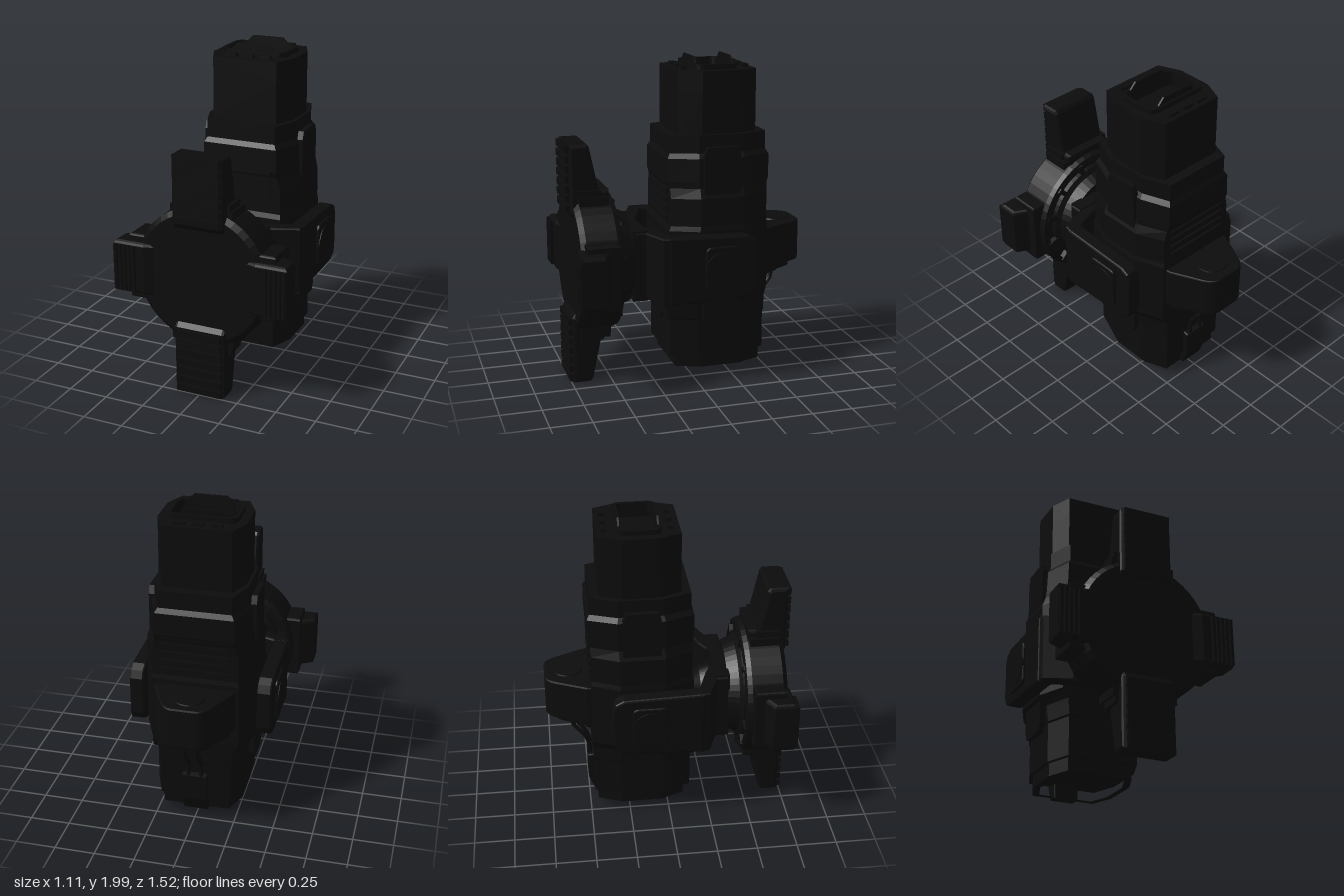
import * as THREE from 'three';

const black = new THREE.MeshStandardMaterial({ color: 0x0c0c0c, flatShading: true });
black.name = 'matte black';
const MID = 0.76; // height of the mount and tilt axis

function add(parent, name, geo, x = 0, y = 0, z = 0) {
  const m = new THREE.Mesh(geo, black);
  m.name = name;
  m.position.set(x, y, z);
  parent.add(m);
  return m;
}
const box = (w, h, d) => new THREE.BoxGeometry(w, h, d);
const poly = (pts) => new THREE.Shape(pts.map(([a, b]) => new THREE.Vector2(a, b)));

// Extrude centred on its own depth, optionally with inset bevels
function slab(shape, depth, bevel = 0) {
  const g = new THREE.ExtrudeGeometry(shape, {
    depth: depth - 2 * bevel, bevelEnabled: bevel > 0, bevelSize: bevel, bevelOffset: -bevel,
    bevelThickness: bevel, bevelSegments: 2, curveSegments: 10,
  });
  return g.translate(0, 0, -(depth - 2 * bevel) / 2);
}
const alongX = (shape, d, b) => slab(shape, d, b).rotateY(-Math.PI / 2); // shape given as (z, y)
const alongY = (shape, d, b) => slab(shape, d, b).rotateX(Math.PI / 2); // shape given as (x, z)

function roundRect(x0, y0, x1, y1, r, s = new THREE.Shape()) {
  s.moveTo(x0 + r, y0).lineTo(x1 - r, y0).quadraticCurveTo(x1, y0, x1, y0 + r);
  s.lineTo(x1, y1 - r).quadraticCurveTo(x1, y1, x1 - r, y1);
  s.lineTo(x0 + r, y1).quadraticCurveTo(x0, y1, x0, y1 - r);
  s.lineTo(x0, y0 + r).quadraticCurveTo(x0, y0, x0 + r, y0);
  return s;
}

// Eight-sided housing section: half width, front z, back z
function octagon(w, zf, zb) {
  const c = (zf + zb) / 2, h = (zf - zb) / 2, f = w * 0.78, k = h * 0.45;
  return [[w, c + k], [w, c - k], [f, zb], [-f, zb], [-w, c - k], [-w, c + k], [-f, zf], [f, zf]];
}

// Stack of octagons [y, halfWidth, front, back]
function loft(levels) {
  const rings = levels.map(([y, w, zf, zb]) => octagon(w, zf, zb).map(([x, z]) => [x, y, z]));
  const p = [], tri = (a, b, c) => p.push(...a, ...b, ...c);
  for (let i = 0; i < rings.length - 1; i++) {
    for (let j = 0; j < 8; j++) {
      const k = (j + 1) % 8, a = rings[i], b = rings[i + 1];
      tri(a[j], a[k], b[k]);
      tri(a[j], b[k], b[j]);
    }
  }
  const lo = rings[0], hi = rings[rings.length - 1];
  for (let j = 1; j < 7; j++) {
    tri(lo[0], lo[j + 1], lo[j]);
    tri(hi[0], hi[j], hi[j + 1]);
  }
  const g = new THREE.BufferGeometry();
  g.setAttribute('position', new THREE.Float32BufferAttribute(p, 3));
  g.computeVertexNormals();
  return g;
}

function buildMount(root) {
  const mount = new THREE.Group();
  mount.name = 'mount';
  mount.position.y = MID;
  root.add(mount);
  // Turned hub, widening from the neck to the base plate
  const hub = [[0, 0.11], [0.08, 0.11], [0.08, 0.18], [0.13, 0.22], [0.15, 0.28], [0.21, 0.3], [0.22, 0.37],
    [0.28, 0.37], [0.31, 0.44], [0.34, 0.46], [0.34, 0.49], [0.39, 0.49], [0.39, 0.46], [0.42, 0.47],
    [0.43, 0.5], [0.43, 0.69], [0.4, 0.72], [0, 0.72]].map(([r, z]) => new THREE.Vector2(r, z));
  add(mount, 'baseHub', new THREE.LatheGeometry(hub, 48).rotateX(Math.PI / 2));
  for (let i = 0; i < 12; i++) {
    const a = (i + 0.5) * Math.PI / 6;
    add(mount, 'hubRib', box(0.09, 0.03, 0.04), 0.36 * Math.cos(a), 0.36 * Math.sin(a), 0.475).rotation.z = a;
  }
  // Cross-shaped backing
  add(mount, 'sideBacking', alongY(poly([[-0.47, 0.505], [0.47, 0.505], [0.47, 0.7], [-0.47, 0.7]]), 0.41, 0.012));
  add(mount, 'uprightBacking', box(0.4, 0.86, 0.18), 0, 0, 0.6);

  // Four feet, the upright pair being longer
  const longFoot = poly([[0.74, 0.33], [0.74, 0.75], [0.63, 0.75], [0.615, 0.73], [0.56, 0.47], [0.5, 0.47], [0.5, 0.3], [0.72, 0.3]]);
  const shortFoot = poly([[0.74, 0.36], [0.74, 0.555], [0.61, 0.555], [0.565, 0.47], [0.51, 0.45], [0.51, 0.3], [0.72, 0.3]]);
  for (let i = 0; i < 4; i++) {
    const foot = new THREE.Group(), long = i % 2 === 0;
    foot.name = long ? 'uprightFoot' : 'sideFoot';
    foot.rotation.z = i * Math.PI / 2;
    mount.add(foot);
    add(foot, 'footBody', alongX(long ? longFoot : shortFoot, 0.33, 0.02));
    const n = long ? 7 : 5, start = long ? 0.36 : 0.425, step = long ? 0.06 : 0.029;
    for (let j = 0; j < n; j++) {
      add(foot, 'tread', box(0.29, step * 0.7, 0.03), 0, start + j * step, 0.745);
    }
    if (long) add(foot, 'footShoulder', box(0.37, 0.13, 0.14), 0, 0.405, 0.62);
  }
}

function buildYoke(root) {
  const yoke = new THREE.Group();
  yoke.name = 'yoke';
  yoke.position.y = MID;
  root.add(yoke);
  add(yoke, 'yokeCore', box(0.52, 0.44, 0.09), 0, 0, 0.335);
  for (const s of [-1, 1]) {
    const bridge = poly([[0.1, 0.37], [0.27, 0.37], [0.27, 0.3], [0.435, 0.235], [0.445, 0.17], [0.355, 0.17], [0.35, 0.18], [0.175, 0.24], [0.1, 0.28]].map(([x, z]) => [s * x, z]));
    add(yoke, 'yokeBridge', alongY(bridge, 0.42, 0.01));
    const arm = poly([[0.2, 0.21], [0.2, -0.21], [-0.29, -0.19], [-0.34, -0.165], [-0.36, -0.12], [-0.36, 0.12], [-0.34, 0.17], [-0.29, 0.195]]);
    add(yoke, 'yokeArm', alongX(arm, 0.092, 0.012), s * 0.4);
    // Tilt joint and its cover
    add(yoke, 'armPad', alongX(roundRect(-0.24, -0.14, -0.02, 0.14, 0.04), 0.03, 0.008), s * 0.447);
    add(yoke, 'pivotCap', new THREE.CylinderGeometry(0.11, 0.115, 0.03, 36).rotateZ(-s * Math.PI / 2), s * 0.451, 0, -0.13);
    add(yoke, 'pivotShaft', new THREE.CylinderGeometry(0.12, 0.12, 0.1, 36).rotateZ(Math.PI / 2), s * 0.34, 0, -0.13);
  }
}

function buildHousing(root) {
  const housing = new THREE.Group();
  housing.name = 'housing';
  root.add(housing);
  // Stepped main body
  add(housing, 'mainBody', loft([
    [0.15, 0.285, 0.14, -0.47], [0.39, 0.285, 0.14, -0.47], [0.4, 0.29, 0.155, -0.475], [0.5, 0.3, 0.155, -0.475],
    [0.56, 0.345, 0.155, -0.475], [0.97, 0.345, 0.155, -0.475], [1, 0.338, 0.143, -0.47], [1.17, 0.338, 0.143, -0.47],
    [1.23, 0.315, 0.143, -0.475], [1.27, 0.312, 0.155, -0.487], [1.41, 0.305, 0.155, -0.487], [1.44, 0.285, 0.138, -0.47],
    [1.55, 0.285, 0.138, -0.47], [1.551, 0.265, 0.08, -0.41], [1.8, 0.265, 0.08, -0.41]]));
  // Hollow lower rim
  const rim = poly(octagon(0.265, 0.1, -0.45));
  rim.holes.push(poly(octagon(0.225, 0.06, -0.41)));
  add(housing, 'lowerRim', alongY(rim, 0.09), 0, 0.115, 0);
  // Upper rim around the recessed lens
  const top = poly(octagon(0.265, 0.08, -0.41));
  top.holes.push(roundRect(-0.21, -0.3, 0.21, -0.03, 0.06, new THREE.Path()));
  add(housing, 'upperRim', alongY(top, 0.13), 0, 1.865, 0);
  add(housing, 'lens', alongY(roundRect(-0.2, -0.29, 0.2, -0.04, 0.06), 0.08, 0.015), 0, 1.83, 0);
  const collar = roundRect(-0.212, -0.3, 0.212, -0.03, 0.06);
  collar.holes.push(roundRect(-0.19, -0.28, 0.19, -0.05, 0.05, new THREE.Path()));
  add(housing, 'lensCollar', alongY(collar, 0.05), 0, 1.935, 0);
  for (const z of [-0.05, -0.28]) {
    add(housing, 'lensGuard', slab(poly([[-0.15, 1.88], [0.15, 1.88], [0.14, 1.96], [0.1, 2], [-0.1, 2], [-0.14, 1.96]]), 0.012), 0, 0, z);
  }
  for (const x of [-0.11, 0, 0.11]) for (const z of [-0.365, 0.025]) {
    add(housing, 'rimClip', box(0.07, 0.03, 0.035), x, 1.935, z);
  }
  // Cooling fins front and back, and narrow guards on the flanks
  for (let i = 0; i < 5; i++) {
    const y = 1.04 + i * 0.055;
    add(housing, 'frontFin', box(0.4, 0.025, 0.03), 0, y, 0.14);
    add(housing, 'backFin', box(0.42, 0.025, 0.03), 0, y, -0.468);
  }
  for (const s of [-1, 1]) {
    add(housing, 'sideGuard', alongX(poly([[-0.26, 0.35], [-0.07, 0.35], [-0.05, 0.4], [-0.05, 1.43], [-0.07, 1.48], [-0.26, 1.48], [-0.28, 1.43], [-0.28, 0.4]]), 0.035), s * 0.312);
  }
  // Raised band with a notch at the lower edge
  add(housing, 'frontPanel', slab(poly([[-0.2, 0.4], [-0.09, 0.4], [-0.06, 0.35], [0.06, 0.35], [0.09, 0.4], [0.2, 0.4], [0.2, 0.5], [-0.2, 0.5]]), 0.03), 0, 0, 0.142);
}

function buildRearPod(root) {
  const pod = new THREE.Group();
  pod.name = 'rearPod';
  root.add(pod);
  const outline = (k, back) => {
    const s = new THREE.Shape();
    s.moveTo(-0.25 * k, -0.46).lineTo(-0.245 * k, -0.5).lineTo(-0.155 * k, back + 0.065);
    s.quadraticCurveTo(-0.12 * k, back, -0.07 * k, back).lineTo(0.07 * k, back);
    s.quadraticCurveTo(0.12 * k, back, 0.155 * k, back + 0.065).lineTo(0.245 * k, -0.5).lineTo(0.25 * k, -0.46);
    return s;
  };
  add(pod, 'podShell', alongY(outline(1, -0.757), 0.26, 0.008), 0, 0.81, 0);
  add(pod, 'podStep', alongY(outline(0.88, -0.7), 0.06, 0.008), 0, 0.665, 0);
  add(pod, 'podFoot', alongY(outline(0.7, -0.63), 0.05, 0.008), 0, 0.625, 0);
  add(pod, 'podCap', new THREE.CylinderGeometry(0.09, 0.095, 0.012, 36), 0, 0.941, -0.61);
  // Cables leading down to the socket
  for (const x of [-0.04, 0.04]) {
    const path = new THREE.CatmullRomCurve3([[0.62, -0.595], [0.55, -0.59], [0.47, -0.53], [0.4, -0.495], [0.3, -0.49]].map(([y, z]) => new THREE.Vector3(x, y, z)));
    add(pod, 'cable', new THREE.TubeGeometry(path, 24, 0.013, 8));
  }
  add(pod, 'cableSocket', alongX(poly([[-0.4, 0.06], [-0.47, 0.06], [-0.505, 0.15], [-0.505, 0.32], [-0.4, 0.34]]), 0.16, 0.008));
}

export function createModel() {
  const root = new THREE.Group();
  root.name = 'wallMountedLamp';
  buildMount(root);
  buildYoke(root);
  buildHousing(root);
  buildRearPod(root);
  return root;
}
